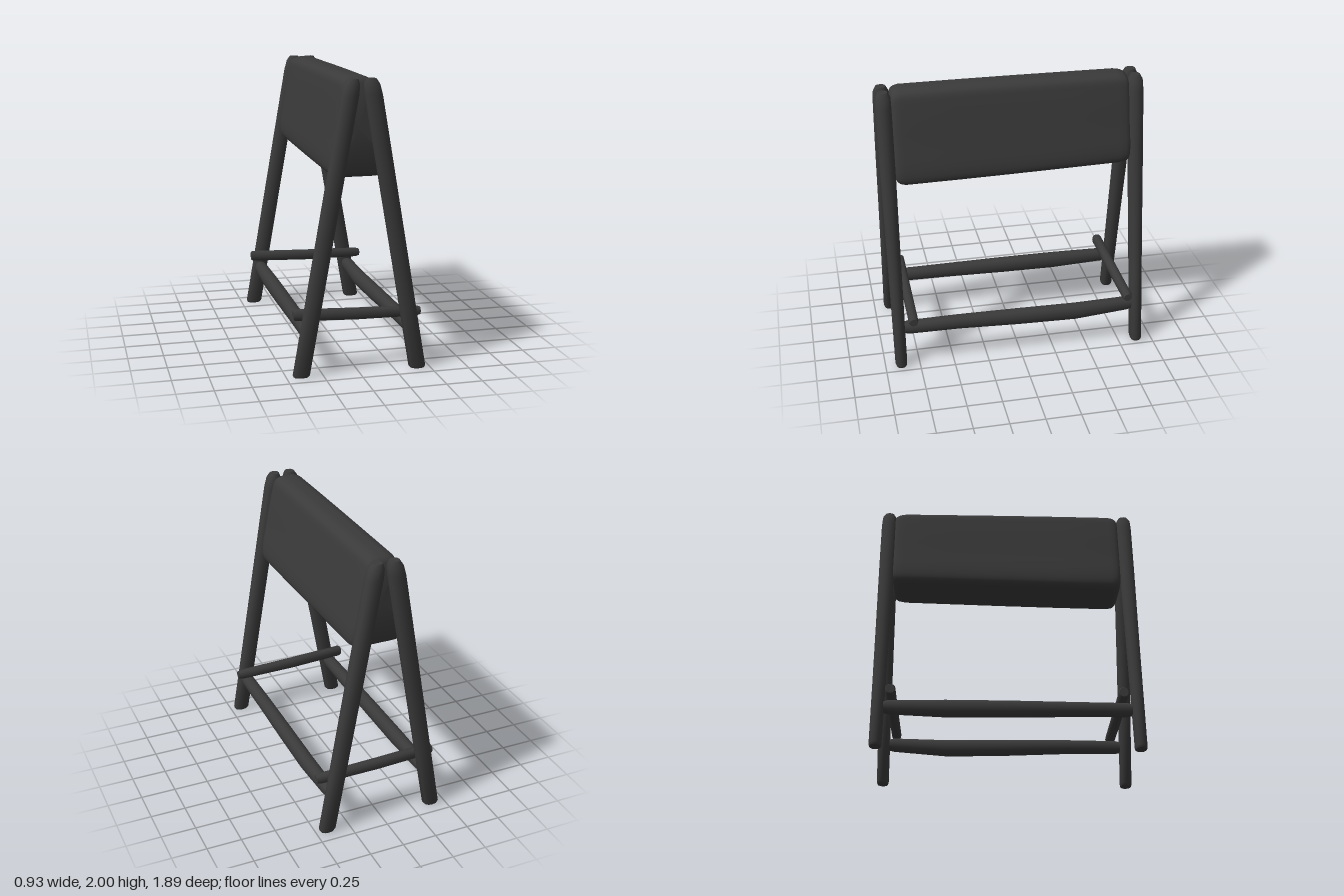
import * as THREE from 'three';
import { toCreasedNormals } from 'three/addons/utils/BufferGeometryUtils.js';

const material = new THREE.MeshStandardMaterial({ color: 0x3a3a3a });

// Skin a list of closed rings (arrays of [x, y, z]) and cap both ends.
function loft(rings, name) {
  const n = rings[0].length;
  const pos = rings.flat(2);
  const index = [];
  for (let r = 0; r < rings.length - 1; r++) {
    for (let i = 0; i < n; i++) {
      const a = r * n + i, b = r * n + (i + 1) % n;
      index.push(a, b, b + n, a, b + n, a + n);
    }
  }
  [rings[0], rings[rings.length - 1]].forEach((ring, end) => {
    const centre = pos.length / 3;
    const base = end ? (rings.length - 1) * n : 0;
    for (let k = 0; k < 3; k++) pos.push(ring.reduce((s, p) => s + p[k], 0) / n);
    for (let i = 0; i < n; i++) {
      const a = base + i, b = base + (i + 1) % n;
      if (end) index.push(centre, a, b);
      else index.push(centre, b, a);
    }
  });
  const geo = new THREE.BufferGeometry();
  geo.setAttribute('position', new THREE.Float32BufferAttribute(pos, 3));
  geo.setIndex(index);
  const mesh = new THREE.Mesh(toCreasedNormals(geo, 0.75), material);
  mesh.name = name;
  return mesh;
}

// Rounded pole along one world axis; each section is [x, y, z, radiusU, radiusV].
function pole(axis, sections, name) {
  const u = (axis + 1) % 3, v = (axis + 2) % 3, sides = 12;
  const rings = sections.map((s) => Array.from({ length: sides }, (_, i) => {
    const t = (i / sides) * Math.PI * 2;
    const c = Math.cos(t), d = Math.sin(t);
    const p = s.slice(0, 3);
    // slightly squared circle
    p[u] += s[3] * Math.sign(c) * Math.abs(c) ** 0.85;
    p[v] += s[4] * Math.sign(d) * Math.abs(d) ** 0.85;
    return p;
  }));
  return loft(rings, name);
}

export function createModel() {
  const group = new THREE.Group();

  // Four leaning legs, meeting in pairs at the top
  for (const sz of [1, -1]) {
    for (const sx of [1, -1]) {
      const foot = sx > 0 ? 0.415 : -0.4;
      const head = sx > 0 ? 0.075 : -0.055;
      const at = (y, ru, rv) => [foot + (head - foot) * y / 1.96, y, sz * (0.885 + 0.002 * y), ru, rv];
      group.add(pole(1, [
        at(0.0, 0.038, 0.05), at(0.015, 0.043, 0.06), at(0.5, 0.046, 0.06), at(1.0, 0.05, 0.06),
        at(1.5, 0.055, 0.06), at(1.88, 0.057, 0.06), at(1.95, 0.053, 0.053), at(1.985, 0.035, 0.035),
      ], `${sz > 0 ? 'front' : 'back'}${sx > 0 ? 'Left' : 'Right'}Leg`));
    }
  }

  // Cross rails tying each pair of legs
  for (const [z, y0, y1, name] of [[0.785, 0.4, 0.37, 'frontCrossRail'], [-0.8, 0.405, 0.385, 'backCrossRail']]) {
    group.add(pole(0, [
      [-0.43, y0, z, 0.032, 0.03], [-0.415, y0, z, 0.04, 0.036], [0, (y0 + y1) / 2 - 0.005, z, 0.041, 0.036],
      [0.43, y1, z, 0.036, 0.035], [0.46, y1, z, 0.027, 0.028],
    ], name));
  }

  // Long rails running front to back, sagging a little
  for (const [x, lift, sag, name] of [[0.37, 0, 0.02, 'leftLongRail'], [-0.35, 0.015, 0.005, 'rightLongRail']]) {
    group.add(pole(2, [
      [x, 0.285 + lift, -0.845, 0.04, 0.04], [x, 0.285 + lift, -0.81, 0.047, 0.048],
      [x, 0.285 + lift - sag, -0.42, 0.052, 0.06], [x, 0.285 + lift - sag * 0.6, 0, 0.052, 0.058],
      [x, 0.285 + lift, 0.45, 0.05, 0.05], [x, 0.285 + lift, 0.81, 0.048, 0.047], [x, 0.285 + lift, 0.845, 0.04, 0.04],
    ], name));
  }

  // Padded wedge body: one half outline, mirrored and smoothed
  const half = [[0.15, 1.325], [0.192, 1.345], [0.205, 1.4], [0.17, 1.62], [0.125, 1.88], [0.1, 1.965], [0.055, 1.992]];
  const outline = [[0, 1.32], ...half, [0, 1.997], ...half.slice().reverse().map(([x, y]) => [-x, y])];
  const curve = new THREE.CatmullRomCurve3(outline.map(([x, y]) => new THREE.Vector3(x, y, 0)), true, 'centripetal');
  const section = curve.getPoints(64).slice(0, 64);
  const stations = [[-0.845, 0.86], [-0.835, 0.92], [-0.81, 0.965], [-0.76, 0.99], [-0.4, 0.995], [0, 1],
    [0.4, 1], [0.77, 0.995], [0.805, 0.97], [0.825, 0.925], [0.835, 0.87]];
  group.add(loft(stations.map(([z, s]) => section.map((p) => {
    const low = (2 - p.y) / 0.68;
    const y = p.y + low * 0.016 * (1 - z / 0.84); // underside climbs toward the back
    return [p.x * s + 0.018 * low, 1.66 + (y - 1.66) * s, z];
  })), 'paddedBody'));

  return group;
}
